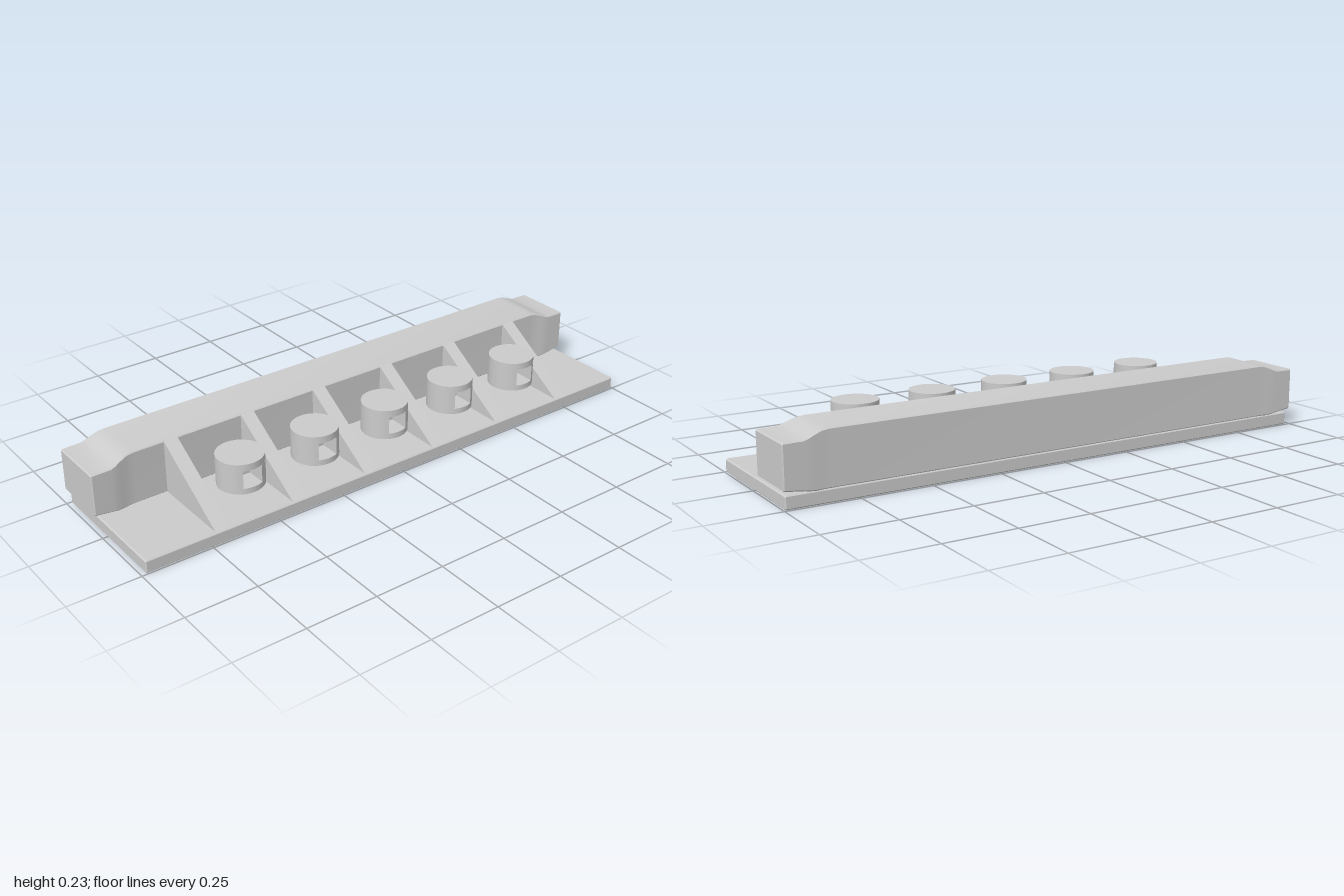
import * as THREE from 'three';
import { toCreasedNormals } from 'three/addons/utils/BufferGeometryUtils.js';

const material = new THREE.MeshStandardMaterial({ color: 0xcccccc });

function addMesh(parent, geometry, name) {
  const mesh = new THREE.Mesh(geometry, material);
  mesh.name = name;
  parent.add(mesh);
  return mesh;
}

// Chamfered rectangle as a loop of eight points at one station along x
function section([x, z0, z1, y0, y1, c]) {
  return [
    [z0 + c, y0], [z1 - c, y0], [z1, y0 + c], [z1, y1 - c],
    [z1 - c, y1], [z0 + c, y1], [z0, y1 - c], [z0, y0 + c],
  ].map(([z, y]) => new THREE.Vector3(x, y, z));
}

// Skin the sections from -x to +x and close both ends
function loft(stations) {
  const rings = stations.map(section);
  const pos = [];
  const tri = (...pts) => pts.forEach((p) => pos.push(p.x, p.y, p.z));
  for (let i = 0; i < rings.length - 1; i++) {
    for (let j = 0; j < 8; j++) {
      const k = (j + 1) % 8;
      const [a, b, c, d] = [rings[i][j], rings[i][k], rings[i + 1][k], rings[i + 1][j]];
      tri(a, d, c);
      tri(a, c, b);
    }
  }
  const first = rings[0], last = rings[rings.length - 1];
  for (let j = 1; j < 7; j++) {
    tri(first[0], first[j], first[j + 1]);
    tri(last[0], last[j + 1], last[j]);
  }
  // Ring order runs z toward y, which faces inward along x: flip every triangle to face out
  const geometry = new THREE.BufferGeometry();
  geometry.setAttribute('position', new THREE.Float32BufferAttribute(pos, 3));
  return toCreasedNormals(orientOutward(geometry), 0.5);
}

// Reverse the winding when the signed volume is negative
function orientOutward(geometry) {
  const p = geometry.attributes.position;
  const [a, b, c] = [new THREE.Vector3(), new THREE.Vector3(), new THREE.Vector3()];
  let volume = 0;
  for (let i = 0; i < p.count; i += 3) {
    a.fromBufferAttribute(p, i);
    b.fromBufferAttribute(p, i + 1);
    c.fromBufferAttribute(p, i + 2);
    volume += a.dot(b.cross(c));
  }
  if (volume < 0) {
    for (let i = 0; i < p.count; i += 3) {
      b.fromBufferAttribute(p, i + 1);
      c.fromBufferAttribute(p, i + 2);
      p.setXYZ(i + 1, c.x, c.y, c.z);
      p.setXYZ(i + 2, b.x, b.y, b.z);
    }
  }
  return geometry;
}

// Round peg with a blind square socket in its front
function makePeg() {
  const peg = new THREE.Group();
  peg.name = 'peg';
  const r = 0.08, half = 0.035, depth = 0.08;
  const bottom = 0.11, holeLow = 0.13, holeHigh = 0.193, top = 0.217;

  const slab = (y0, y1, name) => {
    const geometry = new THREE.CylinderGeometry(r, r, y1 - y0, 32);
    addMesh(peg, geometry, name).position.y = (y0 + y1) / 2;
  };
  slab(bottom, holeLow, 'pegBottom');
  slab(holeHigh, top, 'pegTop');

  // Plan of the notched layer; shape y becomes -z, so the notch opens at shape -y
  const edge = Math.asin(half / r);
  const plan = new THREE.Shape();
  plan.absarc(0, 0, r, -Math.PI / 2 + edge, Math.PI * 1.5 - edge, false);
  plan.lineTo(-half, depth - r);
  plan.lineTo(half, depth - r);
  plan.closePath();
  const layer = new THREE.ExtrudeGeometry(plan, {
    depth: holeHigh - holeLow, bevelEnabled: false, curveSegments: 32,
  });
  layer.rotateX(-Math.PI / 2).translate(0, holeLow, 0);
  addMesh(peg, toCreasedNormals(layer, 0.5), 'pegSocket');
  return peg;
}

export function createModel() {
  const model = new THREE.Group();
  model.name = 'pegRail';

  // Base plate with fine chamfers
  const c = 0.004;
  addMesh(model, loft([
    [-0.984, -0.245 + c, 0.248 - c, c, 0.046 - c, 0.001],
    [-0.984 + c, -0.245, 0.248, 0, 0.046, c],
    [0.996 - c, -0.245, 0.248, 0, 0.046, c],
    [0.996, -0.245 + c, 0.248 - c, c, 0.046 - c, 0.001],
  ]), 'basePlate');

  // Rear beam: wide, lower end blocks blending into the taller middle
  const end = [
    [-1, -0.244, -0.045, 0.061, 0.203, 0.001],
    [-0.996, -0.248, -0.041, 0.058, 0.207, 0.004],
    [-0.93, -0.248, -0.041, 0.05, 0.208, 0.004],
    [-0.915, -0.248, -0.042, 0.047, 0.213, 0.004],
    [-0.895, -0.247, -0.046, 0.045, 0.222, 0.004],
    [-0.87, -0.245, -0.051, 0.045, 0.231, 0.004],
    [-0.845, -0.244, -0.053, 0.045, 0.234, 0.004],
  ];
  const mirrored = end.map(([x, ...rest]) => [-x, ...rest]).reverse();
  addMesh(model, loft([...end, ...mirrored]), 'rearBeam');

  // Triangular ribs bracing the beam on the plate
  const profile = new THREE.Shape([
    new THREE.Vector2(-0.246, 0.044),
    new THREE.Vector2(0.06, 0.044),
    new THREE.Vector2(0.06, 0.233),
    new THREE.Vector2(0.053, 0.233),
  ]);
  const rib = new THREE.ExtrudeGeometry(profile, { depth: 0.05, bevelEnabled: false });
  rib.translate(0, 0, -0.025).rotateY(Math.PI / 2);
  const pitch = 0.288;
  for (let i = 0; i < 6; i++) {
    addMesh(model, rib, 'rib').position.x = -0.71 + i * pitch;
  }

  // One peg in each bay
  for (let i = 0; i < 5; i++) {
    const peg = makePeg();
    peg.position.set(-0.565 + i * pitch, 0, 0.125);
    model.add(peg);
  }
  return model;
}
